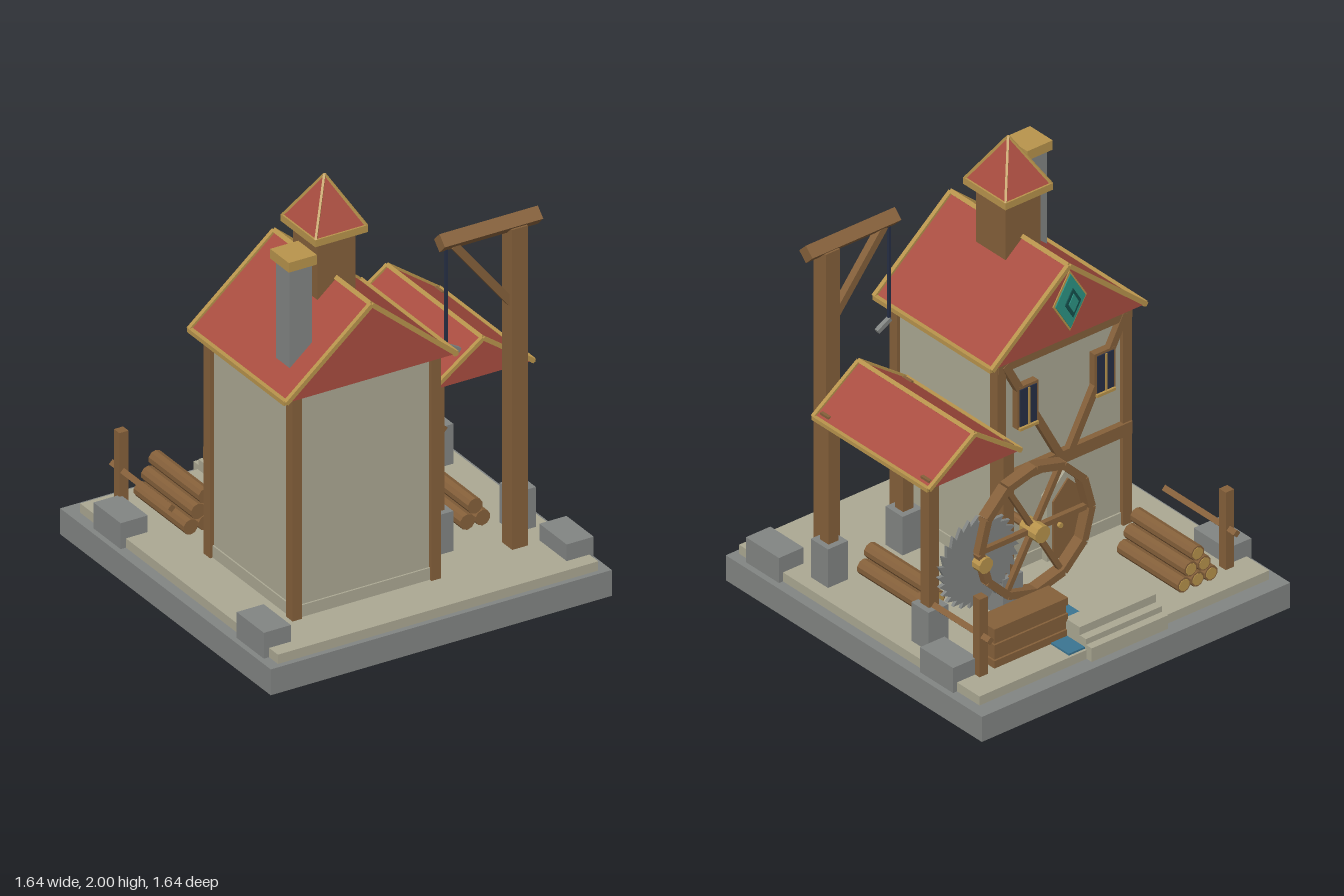
import * as THREE from 'three';

const mat = (name, color) => Object.assign(new THREE.MeshStandardMaterial({ color }), { name });

export function createModel() {
  const M = {
    stone: mat('stone', 0x828583), sand: mat('plaster', 0xaba893), wood: mat('wood', 0x85603a),
    red: mat('roof red', 0xa94d40), gold: mat('brass', 0xb8944c), water: mat('water', 0x3b7592),
    navy: mat('dark iron', 0x262f45), teal: mat('teal', 0x2c9484), deep: mat('deep teal', 0x14504c),
  };
  const model = new THREE.Group();
  model.name = 'sawmill';

  const add = (name, geo, m, x = 0, y = 0, z = 0) => {
    const mesh = new THREE.Mesh(geo, m);
    mesh.name = name;
    mesh.position.set(x, y, z);
    model.add(mesh);
    return mesh;
  };
  // box from its lower and upper limits
  const box = (name, m, x0, x1, y0, y1, z0, z1) =>
    add(name, new THREE.BoxGeometry(x1 - x0, y1 - y0, z1 - z0), m, (x0 + x1) / 2, (y0 + y1) / 2, (z0 + z1) / 2);
  // square beam between two points, optionally turned about its length
  const beam = (name, m, a, b, w, h = w, roll = 0) => {
    const p = new THREE.Vector3(...a), q = new THREE.Vector3(...b);
    const mesh = add(name, new THREE.BoxGeometry(w, h, p.distanceTo(q)), m);
    mesh.position.copy(p).lerp(q, 0.5);
    mesh.lookAt(q);
    mesh.rotateZ(roll);
    return mesh;
  };
  // cylinder along z
  const rod = (name, m, r, x, y, z0, z1, sides = 10) => {
    const geo = new THREE.CylinderGeometry(r, r, z1 - z0, sides).toNonIndexed();
    geo.rotateX(Math.PI / 2);
    geo.computeVertexNormals();
    return add(name, geo, m, x, y, (z0 + z1) / 2);
  };
  // flat outline with thickness, starting at z
  const plate = (name, m, pts, depth, x, y, z) => add(name, new THREE.ExtrudeGeometry(
    new THREE.Shape(pts.map(p => new THREE.Vector2(...p))), { depth, bevelEnabled: false }), m, x, y, z);

  // base
  box('baseSlab', M.stone, -0.82, 0.82, 0, 0.12, -0.82, 0.82);
  box('ground', M.sand, -0.77, 0.77, 0.12, 0.163, -0.745, 0.795);
  for (const x of [-0.73, 0.726]) for (const z of [-0.495, 0.62])
    box('cornerStone', M.stone, x - 0.065, x + 0.065, 0.12, 0.24, z - 0.106, z + 0.106);

  // gabled roof with trimmed edges, ridge along z
  const gableRoof = (name, cx, half, y0, y1, z0, z1, t) => {
    plate(name, M.red, [[-half, 0], [half, 0], [0, y1 - y0]], z1 - z0, cx, y0, z0);
    beam(name + 'RidgeTrim', M.gold, [cx, y1, z0], [cx, y1, z1], t, t, Math.PI / 4);
    for (const s of [-1, 1]) {
      beam(name + 'EaveTrim', M.gold, [cx + s * half, y0, z0], [cx + s * half, y0, z1], t);
      for (const z of [z0, z1])
        beam(name + 'RakeTrim', M.gold, [cx + s * half, y0, z], [cx, y1, z], t);
    }
  };

  // house
  const cx = -0.215, zb = -0.1;
  box('houseWalls', M.sand, -0.555, 0.125, 0.165, 1.215, -0.082, 0.572);
  box('housePlinth', M.sand, -0.562, 0.132, 0.17, 0.225, -0.09, 0.58);
  for (const x of [-0.55, 0.118]) for (const z of [-0.078, 0.565])
    box('housePost', M.wood, x - 0.023, x + 0.023, 0.168, 1.215, z - 0.025, z + 0.025);
  gableRoof('houseRoof', cx, 0.41, 1.21, 1.555, -0.13, 0.622, 0.02);

  // timber frame on the back wall
  box('crossBeam', M.wood, -0.57, 0.14, 0.6, 0.66, zb - 0.012, zb + 0.03);
  box('topBeam', M.wood, -0.57, 0.14, 1.16, 1.21, zb - 0.012, zb + 0.03);
  for (const s of [-1, 1]) {
    beam('wallBrace', M.wood, [cx + s * 0.32, 1.19, zb], [cx + s * 0.03, 0.65, zb], 0.03, 0.035);
    // windows
    const x = cx + s * 0.205, y = 0.96;
    box('windowFrame', M.wood, x - 0.055, x + 0.055, y - 0.1, y + 0.1, zb - 0.016, zb + 0.02);
    box('windowGlass', M.navy, x - 0.044, x + 0.044, y - 0.088, y + 0.088, zb - 0.021, zb - 0.014);
    box('windowBar', M.gold, x - 0.005, x + 0.005, y - 0.088, y + 0.088, zb - 0.025, zb - 0.02);
    box('windowSill', M.gold, x - 0.05, x + 0.05, y - 0.105, y - 0.092, zb - 0.027, zb);
  }

  // pointed door
  const arch = (w, h, tip) => [[-w, 0], [w, 0], [w, h], [0, tip], [-w, h]];
  plate('doorSurround', M.sand, arch(0.108, 0.3, 0.41), 0.04, cx, 0.168, zb - 0.02);
  plate('door', M.wood, arch(0.08, 0.28, 0.365), 0.008, cx, 0.168, zb - 0.028);
  rod('doorKnob', M.gold, 0.012, cx + 0.05, 0.33, zb - 0.042, zb - 0.028, 8);

  // gable emblem of nested diamonds
  const diamond = (name, m, w, h, z) =>
    plate(name, m, [[0, -h], [w, 0], [0, h], [-w, 0]], 0.005, cx, 1.39, z);
  diamond('emblemBorder', M.gold, 0.09, 0.145, -0.138);
  diamond('emblemField', M.teal, 0.08, 0.13, -0.143);
  diamond('emblemRing', M.deep, 0.042, 0.07, -0.16);
  diamond('emblemCentre', M.teal, 0.026, 0.045, -0.164);

  // chimney
  box('chimney', M.stone, -0.53, -0.424, 1.2, 1.75, 0.39, 0.498);
  box('chimneyCap', M.gold, -0.545, -0.41, 1.745, 1.79, 0.37, 0.515);

  // turret
  const tz = 0.258;
  box('turret', M.wood, cx - 0.092, cx + 0.092, 1.4, 1.76, tz - 0.095, tz + 0.095);
  box('turretEave', M.gold, cx - 0.127, cx + 0.127, 1.75, 1.782, tz - 0.135, tz + 0.135);
  const spire = new THREE.ConeGeometry(Math.SQRT1_2, 0.22, 4).toNonIndexed();
  spire.rotateY(Math.PI / 4).scale(0.245, 1, 0.262).computeVertexNormals();
  add('turretRoof', spire, M.red, cx, 1.885, tz);
  for (const sx of [-1, 1]) for (const sz of [-1, 1])
    beam('turretHipTrim', M.gold, [cx + sx * 0.122, 1.78, tz + sz * 0.13], [cx, 1.993, tz], 0.01);

  // open shed
  for (const x of [0.258, 0.655]) for (const z of [-0.288, 0.355]) {
    box('shedPost', M.wood, x - 0.027, x + 0.027, 0.3, 0.96, z - 0.027, z + 0.027);
    box('shedFooting', M.stone, x - 0.053, x + 0.053, 0.165, 0.35, z - 0.055, z + 0.055);
  }
  gableRoof('shedRoof', 0.457, 0.245, 0.935, 1.11, -0.337, 0.403, 0.018);

  // crane
  const kz = 0.49;
  box('cranePost', M.wood, 0.52, 0.595, 0.165, 1.65, kz - 0.04, kz + 0.04);
  beam('craneArm', M.wood, [0.195, 1.662, kz], [0.668, 1.662, kz], 0.06, 0.06, Math.PI / 4);
  beam('craneBrace', M.wood, [0.26, 1.64, kz], [0.54, 1.29, kz], 0.035);
  beam('craneRope', M.navy, [0.226, 1.18, kz], [0.226, 1.64, kz], 0.011);
  beam('craneHook', M.stone, [0.222, 1.18, kz], [0.29, 1.143, kz], 0.02);

  // water wheel
  const wx = 0.155, wy = 0.54, wz = -0.347;
  const onWheel = (r, a) => [wx + r * Math.cos(a), wy + r * Math.sin(a), wz];
  for (let i = 0; i < 12; i++) {
    const a = i * Math.PI / 6;
    beam('wheelRim', M.wood, onWheel(0.295, a), onWheel(0.295, a + Math.PI / 6), 0.054, 0.034, 0);
    if (i % 2 === 0)
      beam('wheelSpoke', M.wood, onWheel(0.02, a), onWheel(0.285, a), 0.024);
  }
  rod('wheelHub', M.gold, 0.04, wx, wy, -0.41, -0.305);
  rod('wheelAxle', M.wood, 0.02, wx, wy, -0.31, -0.08, 8);

  // saw blade
  const teeth = [];
  for (let i = 0; i < 28; i++) {
    const a = -i * Math.PI / 14;
    teeth.push([0.185 * Math.cos(a), 0.185 * Math.sin(a)], [0.215 * Math.cos(a), 0.215 * Math.sin(a)]);
  }
  plate('sawBlade', M.stone, teeth, 0.016, 0.437, 0.49, -0.338);
  rod('sawHub', M.gold, 0.037, 0.437, 0.49, -0.387, -0.3);

  // stacked logs with pale ends
  const logs = (x, rows, r, z0, z1) => {
    for (let row = 0; row < rows; row++) for (let i = 0; i < rows - row; i++) {
      const lx = x + (i - (rows - row - 1) / 2) * r * 2.05, ly = 0.168 + r + row * r * 1.78;
      rod('log', M.wood, r, lx, ly, z0, z1);
      rod('logEnd', M.gold, r * 0.78, lx, ly, z0 - 0.003, z0 + 0.003);
    }
  };
  logs(-0.46, 3, 0.035, -0.66, -0.27);
  logs(0.49, 2, 0.036, -0.1, 0.29);

  // plank stack
  for (let i = 0; i < 5; i++) {
    const inset = i % 2 * 0.006, y = 0.166 + i * 0.038;
    box('plank', M.wood, 0.195 + inset, 0.587 - inset, y, y + 0.035, -0.62 + inset, -0.495 - inset);
  }

  // hitching rails
  for (const x of [-0.657, 0.652]) {
    box('railPost', M.wood, x - 0.022, x + 0.022, 0.16, 0.535, -0.63, -0.587);
    beam('rail', M.wood, [x, 0.35, -0.675], [x, 0.35, -0.215], 0.026, 0.026, Math.PI / 4);
  }

  // water channel and steps
  box('water', M.water, 0.04, 0.285, 0.15, 0.172, -0.733, -0.33);
  box('upperStep', M.sand, -0.205, 0.2, 0.13, 0.25, -0.7, -0.603);
  box('middleStep', M.sand, -0.205, 0.2, 0.13, 0.212, -0.74, -0.7);
  box('lowerStep', M.sand, -0.205, 0.2, 0.12, 0.185, -0.777, -0.74);

  return model;
}
